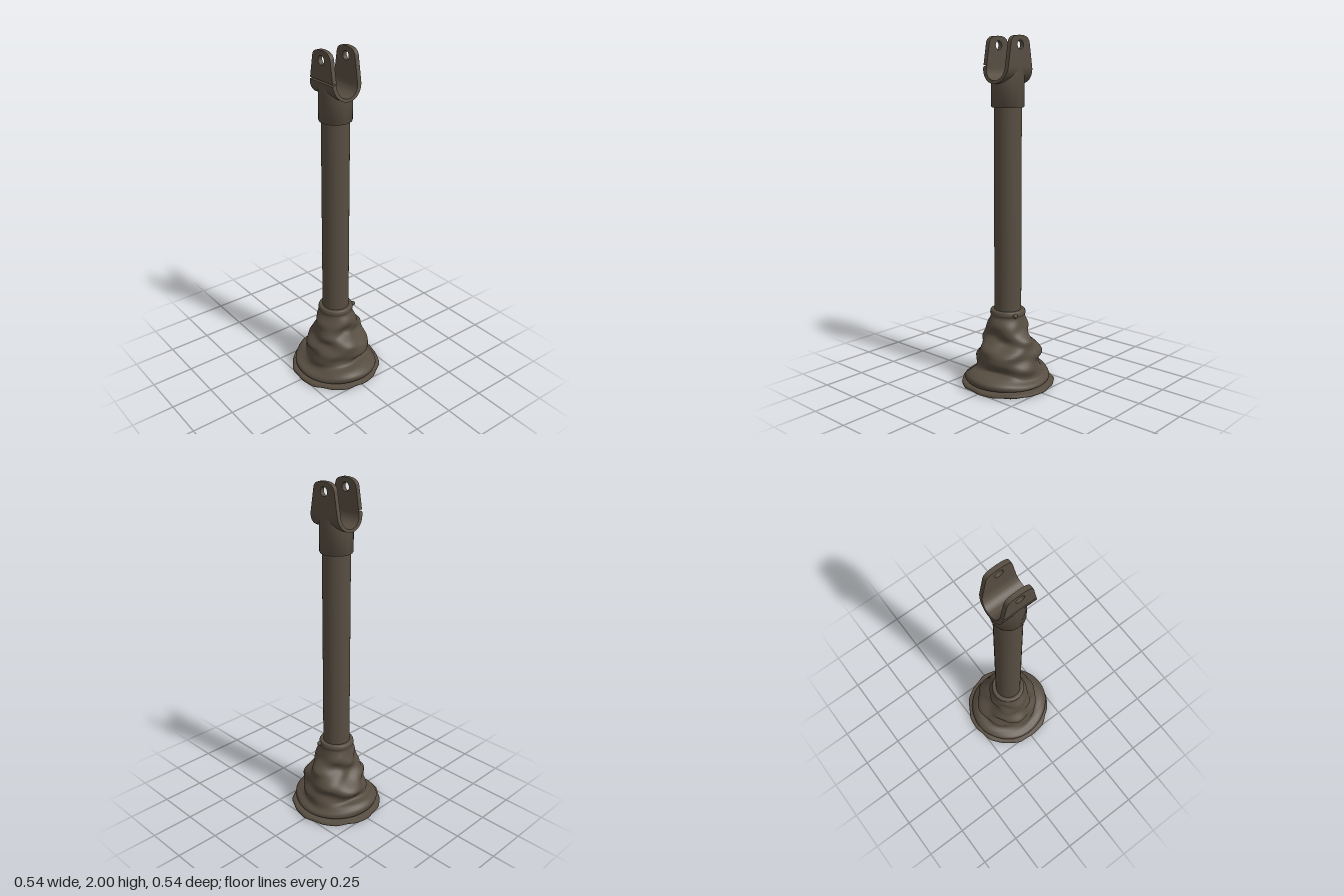
import * as THREE from 'three';
import { mergeVertices, toCreasedNormals } from 'three/addons/utils/BufferGeometryUtils.js';

const V = (x, y) => new THREE.Vector2(x, y);

// Lathe whose vertices are then moved by a rule, welded and smoothed
function shapedLathe(points, segments, rule) {
  let geo = new THREE.LatheGeometry(points, segments);
  const pos = geo.attributes.position, n = points.length;
  for (let i = 0; i < pos.count; i++) {
    const column = Math.floor(i / n) % segments;
    const p = rule((column / segments) * Math.PI * 2, i % n);
    pos.setXYZ(i, p[0], p[1], p[2]);
  }
  geo.deleteAttribute('uv');
  geo.deleteAttribute('normal');
  geo = mergeVertices(geo, 1e-5);
  geo.computeVertexNormals();
  return geo;
}

// Crumpled boot: four side profiles (radius, height) blended around the axis
function bootGeometry() {
  const sides = [
    [[.19, .02], [.25, .035], [.262, .07], [.225, .1], [.172, .11], [.19, .16], [.188, .21], [.13, .27], [.11, .31], [.125, .36], [.1, .41], [.103, .43], [.096, .45], [.074, .45]],
    [[.19, .02], [.235, .03], [.232, .05], [.205, .07], [.198, .11], [.196, .17], [.185, .23], [.16, .27], [.14, .31], [.115, .36], [.098, .41], [.103, .43], [.096, .45], [.074, .45]],
    [[.19, .02], [.24, .035], [.252, .07], [.225, .1], [.18, .11], [.187, .16], [.18, .2], [.13, .25], [.108, .3], [.115, .36], [.1, .41], [.103, .43], [.096, .45], [.074, .45]],
    [[.19, .02], [.24, .03], [.238, .055], [.205, .07], [.187, .1], [.172, .15], [.163, .21], [.15, .27], [.138, .32], [.118, .37], [.1, .41], [.103, .43], [.096, .45], [.074, .45]],
  ].map(s => new THREE.SplineCurve(s.map(p => V(p[0], p[1]))));
  const rows = 66;
  const profiles = sides.map(c => c.getPoints(rows));
  return shapedLathe(profiles[0], 72, (a, j) => {
    // quadrants in order +x, -z, -x, +z
    const q = Math.floor(a / (Math.PI / 2) + 1e-6) % 4;
    const w = Math.sin(a - q * Math.PI / 2) ** 2;
    const p = profiles[q][j].clone().lerp(profiles[(q + 1) % 4][j], w);
    // diagonal cloth folds fading out at the foot and cuff
    const fade = Math.sin(Math.PI * Math.min(1, Math.max(0, (p.y - .03) / .38)));
    const fold = .011 * Math.sin(3 * a + 34 * p.y) + .007 * Math.sin(5 * a - 47 * p.y + 1.3)
      + .005 * Math.sin(2 * a + 75 * p.y + 2);
    const r = p.x + fold * fade;
    return [r * Math.cos(a), p.y, -r * Math.sin(a)];
  });
}

// Wavy skirt plate under the boot
function skirtGeometry() {
  const profile = [V(0, 0), V(.255, 0), V(.268, .006), V(.27, .016), V(.26, .026), V(.17, .03)];
  return shapedLathe(profile, 64, (a, j) => {
    const p = profile[j];
    const wave = p.x > .2 ? .003 * Math.sin(9 * a) + .002 * Math.sin(16 * a + 1) : 0;
    const r = p.x + wave;
    const lift = j > 1 ? .002 * Math.sin(7 * a + 2) : 0;
    return [r * Math.cos(a), p.y + lift, -r * Math.sin(a)];
  });
}

// Fork side taper
const halfWidth = y => .113 - (y - 1.745) * .173;
const FORK_Y = 1.84, OUTER = .092, INNER = .067;

// U-shaped saddle swept along x
function saddleGeometry() {
  const u = new THREE.Shape();
  u.moveTo(-OUTER, FORK_Y);
  u.absarc(0, 1.83, OUTER, Math.PI, Math.PI * 2, false);
  u.lineTo(OUTER, FORK_Y);
  u.lineTo(INNER, FORK_Y);
  u.absarc(0, 1.822, INNER, 0, -Math.PI, true);
  u.lineTo(-INNER, FORK_Y);
  const geo = new THREE.ExtrudeGeometry(u, { depth: 2, bevelEnabled: false, curveSegments: 24 });
  geo.translate(0, 0, -1).rotateY(Math.PI / 2);
  const pos = geo.attributes.position;
  for (let i = 0; i < pos.count; i++) pos.setX(i, pos.getX(i) * halfWidth(pos.getY(i)));
  return toCreasedNormals(geo, .6);
}

// Tapered lug with a pin hole
function lugGeometry() {
  const b = halfWidth(FORK_Y), t = halfWidth(1.955);
  const s = new THREE.Shape();
  s.moveTo(-b, FORK_Y);
  s.lineTo(b, FORK_Y);
  s.lineTo(t, 1.955);
  s.bezierCurveTo(t - .005, 1.985, .05, 1.998, 0, 1.998);
  s.bezierCurveTo(-.05, 1.998, -t + .005, 1.985, -t, 1.955);
  const hole = new THREE.Path();
  hole.absarc(0, 1.947, .025, 0, Math.PI * 2, true);
  s.holes.push(hole);
  const geo = new THREE.ExtrudeGeometry(s, { depth: OUTER - INNER, bevelEnabled: false, curveSegments: 14 });
  return toCreasedNormals(geo, .6);
}

// Socket whose upper edge follows the saddle
function socketGeometry() {
  const geo = new THREE.LatheGeometry([V(.07, 1.61), V(.089, 1.61), V(.092, 1.615), V(.092, 1.74)], 48);
  const pos = geo.attributes.position;
  for (let i = 0; i < pos.count; i++) {
    if (pos.getY(i) < 1.7) continue;
    const z = pos.getZ(i);
    pos.setY(i, 1.833 - Math.sqrt(Math.max(0, OUTER * OUTER - z * z)));
  }
  return toCreasedNormals(geo, .6);
}

export function createModel() {
  const group = new THREE.Group();
  const brown = new THREE.MeshStandardMaterial({ color: 0x574d41 });
  brown.name = 'dark brown';
  const add = (name, geo, x = 0, y = 0, z = 0) => {
    const mesh = new THREE.Mesh(geo, brown);
    mesh.name = name;
    mesh.position.set(x, y, z);
    group.add(mesh);
    return mesh;
  };

  add('skirtPlate', skirtGeometry());
  add('boot', bootGeometry());
  add('cuffKnot', new THREE.SphereGeometry(.014, 12, 8), .045, .432, -.097);
  add('rod', new THREE.CylinderGeometry(.078, .078, 1.22, 40, 1, true), 0, 1.02, 0);
  add('socket', socketGeometry());
  add('forkSaddle', saddleGeometry());
  add('frontLug', lugGeometry(), 0, 0, INNER);
  add('backLug', lugGeometry(), 0, 0, -OUTER);
  return group;
}
